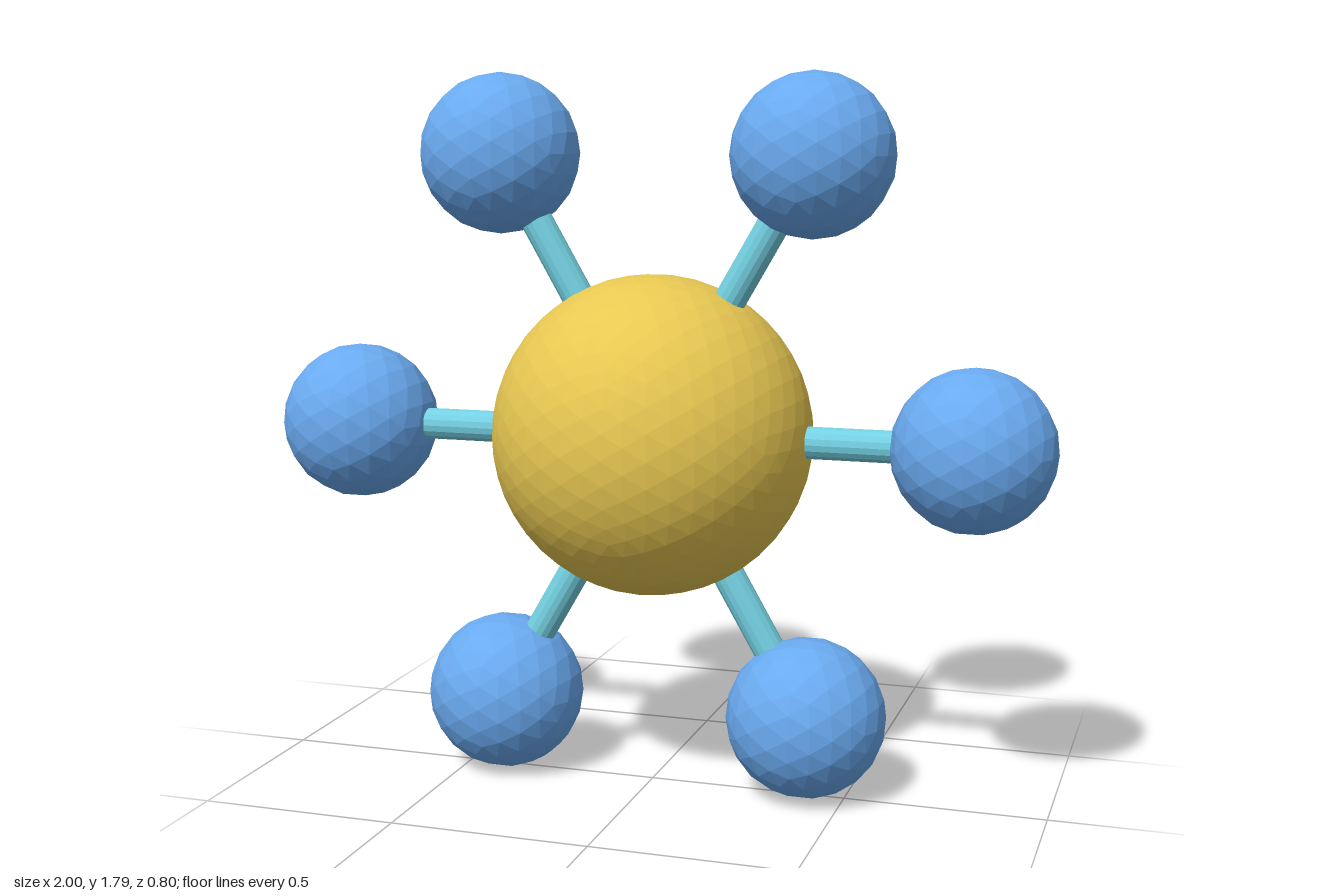
import * as THREE from 'three';

const CORE_RADIUS = 0.4;
const BALL_RADIUS = 0.2;
const ROD_RADIUS = 0.04;
const REACH = 0.8; // core centre to ball centre
const COUNT = 6;

const material = (color) => new THREE.MeshStandardMaterial({ color, flatShading: true });

export function createModel() {
  const model = new THREE.Group();
  model.name = 'ballAndStickRing';

  const gold = material(0xe8c852);
  const blue = material(0x6aaaf0);
  const cyan = material(0x74d0e2);

  // The lowest balls rest on the ground
  const centreY = REACH * Math.sin(Math.PI / 3) + BALL_RADIUS;

  // Central sphere
  const core = new THREE.Mesh(new THREE.IcosahedronGeometry(CORE_RADIUS, 7), gold);
  core.name = 'core';
  core.position.y = centreY;
  model.add(core);

  // Six arms in the upright plane, each a rod ending in a ball
  const ballGeometry = new THREE.IcosahedronGeometry(BALL_RADIUS, 3);
  const rodGeometry = new THREE.CylinderGeometry(ROD_RADIUS, ROD_RADIUS, REACH, 16);
  rodGeometry.rotateZ(-Math.PI / 2).translate(REACH / 2, 0, 0);

  for (let i = 0; i < COUNT; i++) {
    const angle = (i / COUNT) * Math.PI * 2;
    const arm = new THREE.Group();
    arm.name = `arm${i + 1}`;
    arm.position.y = centreY;

    const rod = new THREE.Mesh(rodGeometry, cyan);
    rod.name = 'rod';
    rod.rotation.z = angle;

    // Balls keep the same facet orientation on every arm
    const ball = new THREE.Mesh(ballGeometry, blue);
    ball.name = 'ball';
    ball.position.set(REACH * Math.cos(angle), REACH * Math.sin(angle), 0);

    arm.add(rod, ball);
    model.add(arm);
  }

  return model;
}
